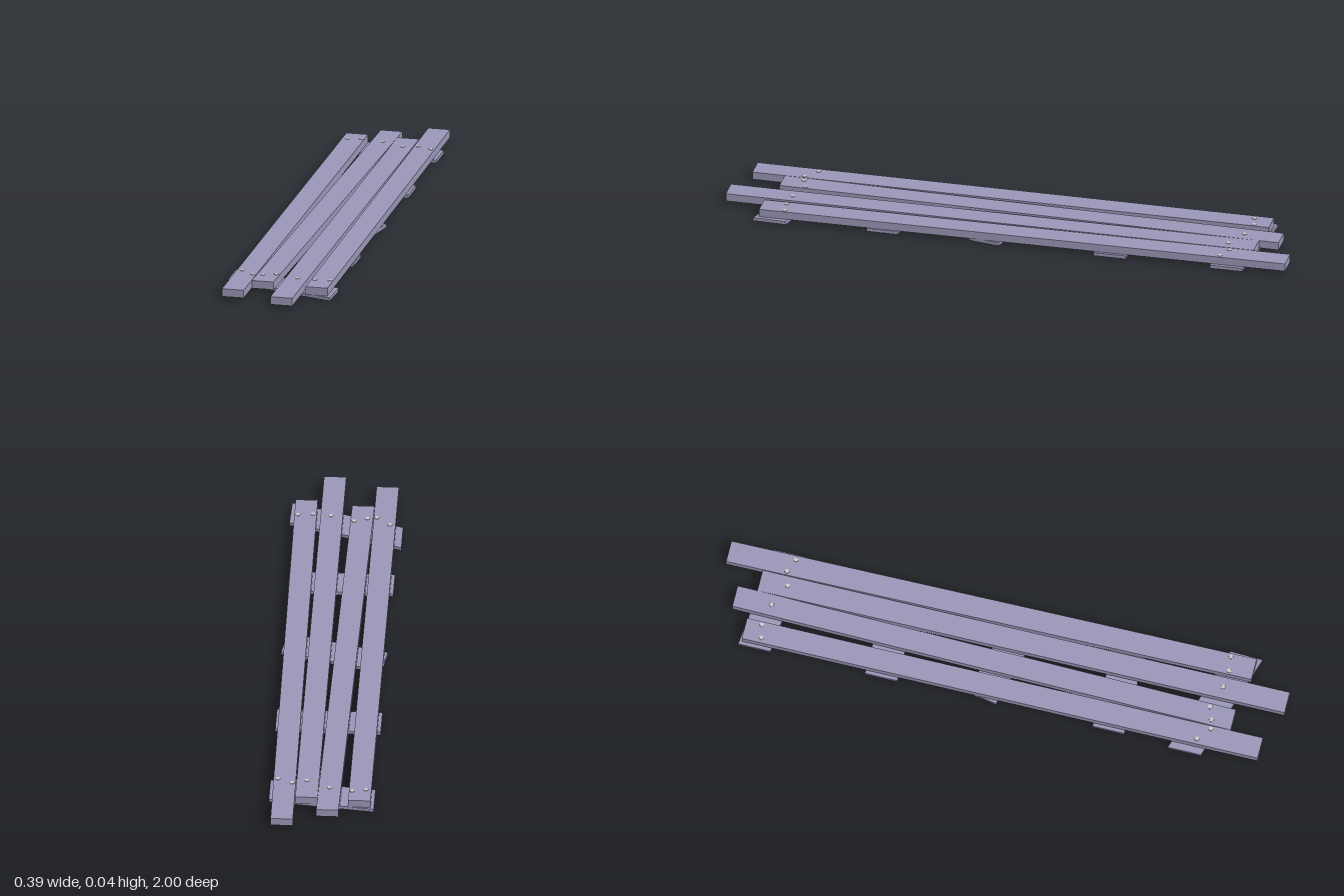
import * as THREE from 'three';

const wood = new THREE.MeshStandardMaterial({ color: 0x9a98b8 });
const metal = new THREE.MeshStandardMaterial({ color: 0xcccccc });

// Flat board from four [x, z] corners, between two heights
function board(name, corners, y0, y1) {
  const shape = new THREE.Shape(corners.map(([x, z]) => new THREE.Vector2(x, -z)));
  const geo = new THREE.ExtrudeGeometry(shape, { depth: y1 - y0, bevelEnabled: false });
  geo.rotateX(-Math.PI / 2).translate(0, y0, 0);
  const mesh = new THREE.Mesh(geo, wood);
  mesh.name = name;
  return mesh;
}

export function createModel() {
  const model = new THREE.Group();
  model.name = 'plankWalkway';

  // Long planks: back left x, back z, front left x, front z
  const plankWidth = 0.077;
  [
    [-0.172, -0.88, -0.172, 0.95],
    [-0.065, -0.94, -0.094, 0.835],
    [0.011, -0.87, 0.012, 1],
    [0.089, -1, 0.103, 0.86],
  ].forEach(([xb, zb, xf, zf], i) => {
    model.add(board('plank' + (i + 1),
      [[xb, zb], [xb + plankWidth, zb], [xf + plankWidth, zf], [xf, zf]], 0.012, 0.04));
  });

  // Cross slats underneath, some set askew
  [
    [[-0.184, -0.89], [0.18, -0.85], [0.18, -0.737], [-0.184, -0.775]],
    [[-0.184, -0.44], [0.18, -0.44], [0.18, -0.325], [-0.184, -0.325]],
    [[-0.165, -0.083], [0.184, 0.01], [0.165, 0.12], [-0.184, 0.025]],
    [[-0.184, 0.367], [0.18, 0.367], [0.18, 0.48], [-0.184, 0.48]],
    [[-0.197, 0.637], [0.196, 0.762], [0.192, 0.878], [-0.197, 0.755]],
  ].forEach((corners, i) => model.add(board('crossSlat' + (i + 1), corners, 0, 0.012)));

  // Nail heads over the two end slats
  const nailGeo = new THREE.CylinderGeometry(0.008, 0.009, 0.003, 8);
  const nails = new THREE.Group();
  nails.name = 'nails';
  [
    [-0.153, -0.815], [-0.106, -0.825], [-0.027, -0.81],
    [0.053, -0.772], [0.104, -0.788], [0.153, -0.767],
    [-0.153, 0.73], [-0.106, 0.768], [-0.073, 0.762], [-0.028, 0.746],
    [0.053, 0.772], [0.116, 0.778], [0.167, 0.772],
  ].forEach(([x, z]) => {
    const nail = new THREE.Mesh(nailGeo, metal);
    nail.name = 'nailHead';
    nail.position.set(x, 0.04, z);
    nails.add(nail);
  });
  model.add(nails);

  return model;
}
